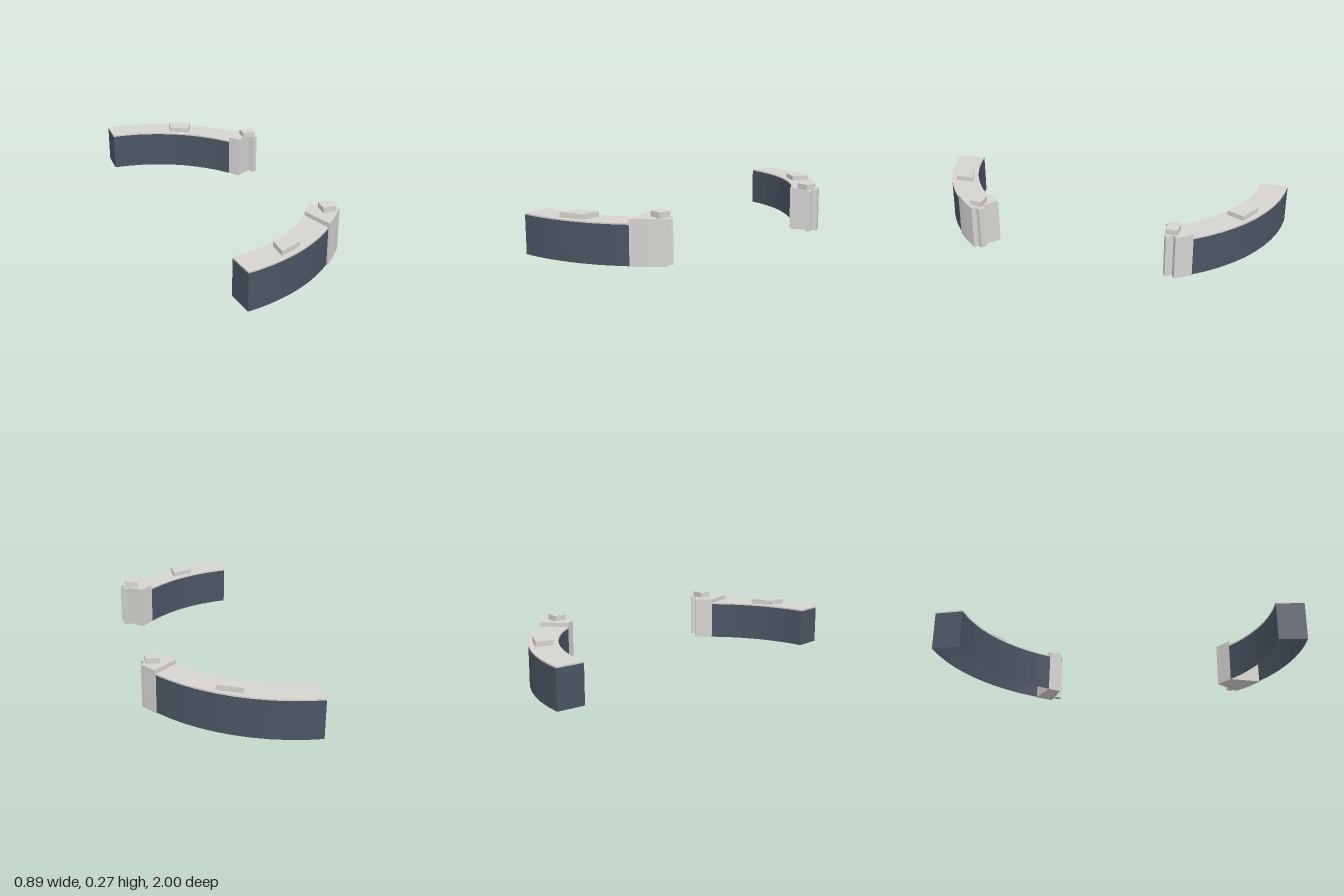
import * as THREE from 'three';

const grey = new THREE.MeshStandardMaterial({ color: 0xd6d4d1, flatShading: true });
grey.name = 'pale stone grey';
const slate = new THREE.MeshStandardMaterial({ color: 0x4b5563, flatShading: true, side: THREE.DoubleSide });
slate.name = 'dark slate';

const R_OUT = 1.0, R_IN = 0.845, STEPS = 10;

// Upright prism over a floor plan given as [x, z] points
function prism(name, plan, y0, y1) {
  const shape = new THREE.Shape(plan.map(([x, z]) => new THREE.Vector2(x, -z)));
  const geo = new THREE.ExtrudeGeometry(shape, { depth: y1 - y0, bevelEnabled: false });
  geo.rotateX(-Math.PI / 2).translate(0, y0, 0);
  const mesh = new THREE.Mesh(geo, grey);
  mesh.name = name;
  return mesh;
}

// Open-bottomed skirt of upright panels following a plan path
function skirt(name, path, y0, y1) {
  const pos = [];
  for (let i = 0; i < path.length - 1; i++) {
    const [ax, az] = path[i], [bx, bz] = path[i + 1];
    pos.push(ax, y0, az, bx, y0, bz, bx, y1, bz, ax, y0, az, bx, y1, bz, ax, y1, az);
  }
  const geo = new THREE.BufferGeometry();
  geo.setAttribute('position', new THREE.Float32BufferAttribute(pos, 3));
  geo.computeVertexNormals();
  const mesh = new THREE.Mesh(geo, slate);
  mesh.name = name;
  return mesh;
}

// One curved wall: angles in degrees, side is +1 for the front and -1 for the back
function curvedWall(o) {
  const g = new THREE.Group();
  g.name = o.name;
  const at = (r, deg) => {
    const a = THREE.MathUtils.degToRad(deg);
    return [o.cx + r * Math.sin(a), o.cz + o.side * r * Math.cos(a)];
  };
  const arc = (r, a, b) => Array.from({ length: STEPS + 1 }, (_, i) => at(r, a + (b - a) * i / STEPS));

  // Curved body, open towards the end block and below
  const inner = arc(R_IN, o.start, o.jointIn);
  const outer = arc(R_OUT, o.start, o.jointOut);
  const path = [...inner.slice().reverse(), ...outer];
  g.add(skirt('wallBody', o.side > 0 ? path : path.slice().reverse(), 0, 0.212));
  g.add(prism('wallCap', path, 0.212, 0.22));

  // End block, slightly proud of the wall, with a full-height rib on its end face
  g.add(prism('endBlock', [
    at(R_IN, o.jointIn), at(R_OUT + 0.007, o.jointOut),
    at(R_OUT + 0.009, (o.jointOut + o.endOut) / 2),
    at(R_OUT + 0.01, o.endOut), at(R_IN + 0.004, o.endIn),
  ], 0, 0.243));
  const [r0, r1, reach] = o.rib;
  g.add(prism('endRib', [
    at(r0, o.endOut - 0.5), at(r1, o.endOut - 0.5), at(r1, o.endOut + reach), at(r0, o.endOut + reach),
  ], 0, 0.238));

  // Raised pad and small square knob
  g.add(prism('topPad', o.pad, 0.22, 0.247));
  const knob = new THREE.Mesh(new THREE.BoxGeometry(0.075, 0.031, 0.067), grey);
  knob.name = 'topKnob';
  knob.position.set(o.knob[0], 0.258, o.knob[1]);
  g.add(knob);
  return g;
}

export function createModel() {
  const model = new THREE.Group();
  model.name = 'curvedWalls';
  model.add(curvedWall({
    name: 'backWall', side: -1, cx: -0.445, cz: 0,
    start: 0, jointIn: 51.9, jointOut: 51.2, endIn: 56.9, endOut: 57,
    rib: [0.95, 0.978, 2.4],
    pad: [[-0.065, -0.89], [0.063, -0.836], [0.021, -0.742], [-0.083, -0.796]],
    knob: [0.341, -0.52],
  }));
  model.add(curvedWall({
    name: 'frontWall', side: 1, cx: -0.388, cz: 0.012,
    start: 9.3, jointIn: 49.3, jointOut: 44.5, endIn: 56.2, endOut: 55.4,
    rib: [0.945, 0.982, 1.7],
    pad: [[-0.027, 0.81], [0.091, 0.752], [0.099, 0.853], [-0.023, 0.915]],
    knob: [0.375, 0.577],
  }));
  return model;
}
